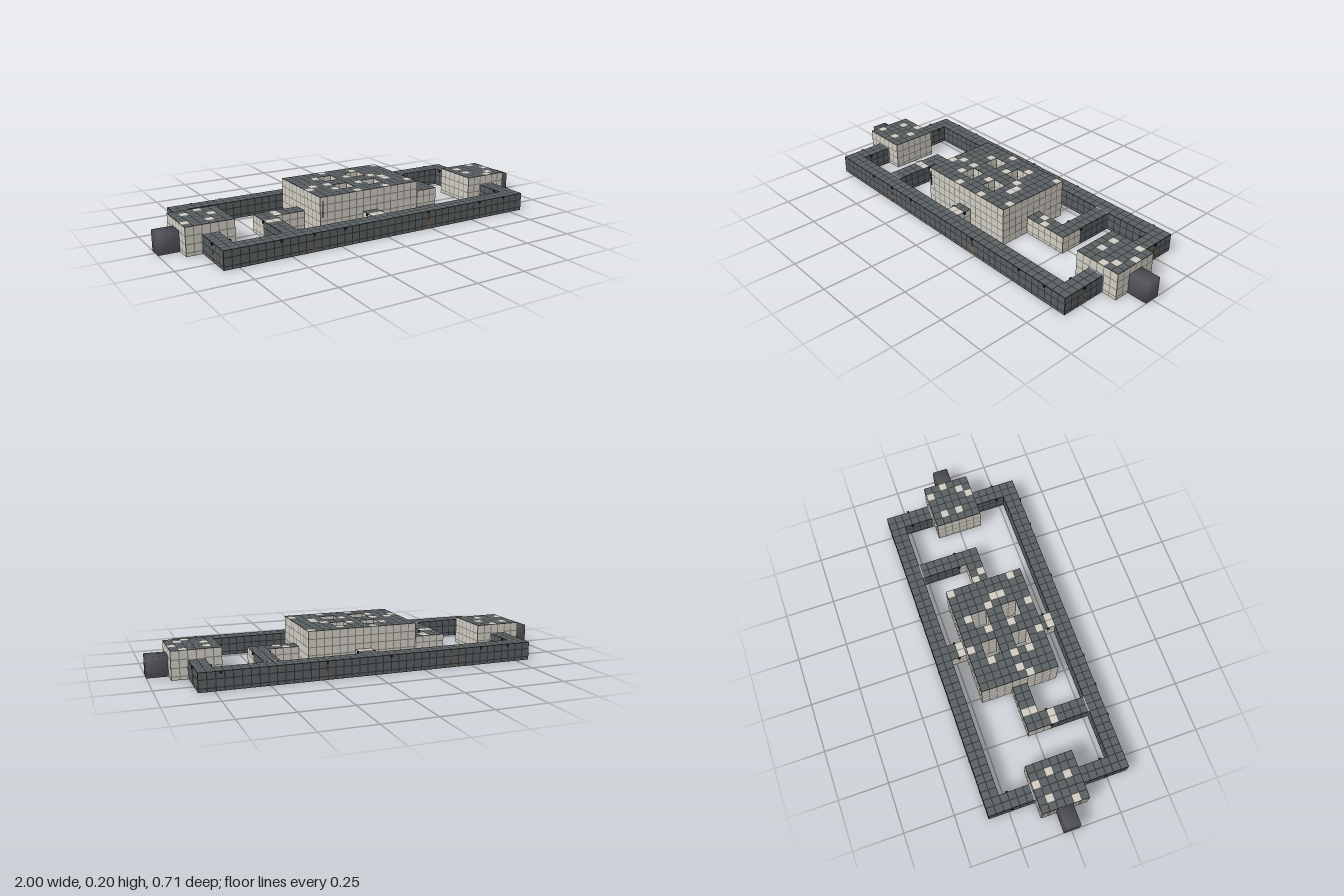
import * as THREE from 'three';
import { mergeGeometries, mergeVertices } from 'three/addons/utils/BufferGeometryUtils.js';

const U = 0.0391;      // side of one tile
const BASE = 0.008;    // underside height
const GAP = 0.0025;    // half of a groove
const LIFT = 0.0008;   // tile face above its groove

const material = (name, color) => {
  const m = new THREE.MeshStandardMaterial({ color });
  m.name = name;
  return m;
};

export function createModel() {
  const group = new THREE.Group();
  const mats = {
    slate: material('slate tile', 0x5a5f61),
    slateGroove: material('slate groove', 0x303436),
    cream: material('cream tile', 0xcfcbc2),
    creamGroove: material('cream groove', 0x85857c),
    floor: material('underside', 0x46494b),
    engine: material('engine grey', 0x55565c),
    frame: material('pale frame', 0xb2bac2),
    clip: material('black clip', 0x1c1e20),
    orange: material('orange stripe', 0x9a6a2c),
  };

  // Footprints in tile units: [name, x0, x1, z0, z1, height, wall colour, row offset]
  const LOW = 0.097, MID = 0.145, HIGH = 0.203;
  const rects = [
    ['outerRing', -21, 21, -9, -7, LOW, 'slate', 0.025],
    ['outerRing', -21, 21, 7, 9, LOW, 'slate', 0.025],
    ['sideCorridor', -13, -7, -1, 1, LOW, 'cream', 0.025],
    ['sideCorridor', -13, -11, 1, 2, LOW, 'cream', 0.025],
    ['sideCorridor', -13, -11, 2, 7, LOW, 'slate', 0.025],
    ['sideCorridor', 7, 13, -1, 1, LOW, 'cream', 0.025],
    ['sideCorridor', 11, 13, -2, -1, LOW, 'cream', 0.025],
    ['sideCorridor', 11, 13, -7, -2, LOW, 'slate', 0.025],
    ['middleConnector', -1, 1, -7, -5, LOW, 'cream', 0.025],
    ['middleConnector', -1, 1, 5, 7, LOW, 'cream', 0.025],
    ['centralBlock', -7, 7, -5, 5, HIGH, 'cream', BASE],
  ];
  for (const x of [-21, 19]) {
    rects.push(['outerRing', x, x + 2, -7, -3, LOW, 'slate', 0.025]);
    rects.push(['outerRing', x, x + 2, 3, 7, LOW, 'slate', 0.025]);
  }
  for (const x of [-23, 17]) rects.push(['endBlock', x, x + 6, -3, 3, MID, 'cream', 0.025]);

  // Cell map, with four shafts cut through the central block
  const cells = new Map();
  for (const [name, x0, x1, z0, z1, h, wall, row] of rects) {
    for (let i = x0; i < x1; i++) for (let j = z0; j < z1; j++) {
      const shaft = name === 'centralBlock' &&
        [1, 2].includes(Math.floor(Math.abs(i + 0.5))) && [1, 2].includes(Math.floor(Math.abs(j + 0.5)));
      if (!shaft) cells.set(`${i},${j}`, { name, i, j, h, wall, row });
    }
  }

  // Roof tiles that are cream instead of slate
  const paleRoof = new Set([
    '-2,-5', '6,-5', '2,-4', '-4,-3', '0,-2', '3,-1', '4,0', '-6,0', '-4,0', '-7,1', '-4,2',
    '-2,4', '6,3', '4,1', '2,4', '0,1', '9,0', '8,-1', '-11,-1', '-11,0', '-13,2', '-12,2',
    '-1,6', '0,6', '-1,-6', '0,-6', '-20,-3', '-22,-2', '-19,-1', '-23,1', '-20,1',
    '21,-3', '22,-1', '18,-2', '18,0', '21,1', '20,2',
  ]);

  // Collect quads for each part and colour
  const bins = {};
  const put = (part, mat, geo) => ((bins[part] ??= {})[mat] ??= []).push(geo);
  const tile = (part, colour, w, h, place) => {
    put(part, colour + 'Groove', place(new THREE.PlaneGeometry(w, h)));
    const face = new THREE.PlaneGeometry(Math.max(w - 2 * GAP, 0.002), Math.max(h - 2 * GAP, 0.002));
    put(part, colour, place(face.translate(0, 0, LIFT)));
  };

  for (const { name, i, j, h, wall, row } of cells.values()) {
    const x = (i + 0.5) * U, z = (j + 0.5) * U;
    tile(name, paleRoof.has(`${i},${j}`) ? 'cream' : 'slate', U, U,
      g => g.rotateX(-Math.PI / 2).translate(x, h, z));
    put(name, 'floor', new THREE.PlaneGeometry(U, U).rotateX(Math.PI / 2).translate(x, BASE, z));
    // Walls wherever the neighbouring cell is lower
    for (const [dx, dz] of [[1, 0], [-1, 0], [0, 1], [0, -1]]) {
      const low = cells.get(`${i + dx},${j + dz}`)?.h ?? BASE;
      if (low >= h) continue;
      const cuts = [low];
      for (let k = 0; k < 7; k++) {
        const y = row + k * 0.039;
        if (y > low + 0.006 && y < h - 0.006) cuts.push(y);
      }
      cuts.push(h);
      for (let k = 1; k < cuts.length; k++) {
        tile(name, wall, U, cuts[k] - cuts[k - 1], g => g.rotateY(Math.atan2(dx, dz))
          .translate(x + dx * U / 2, (cuts[k] + cuts[k - 1]) / 2, z + dz * U / 2));
      }
    }
  }
  for (const [part, byColour] of Object.entries(bins)) {
    const holder = new THREE.Group();
    holder.name = part;
    for (const [key, list] of Object.entries(byColour)) {
      const mesh = new THREE.Mesh(mergeGeometries(list), mats[key]);
      mesh.name = `${part} ${mats[key].name}`;
      holder.add(mesh);
    }
    group.add(holder);
  }

  const box = (name, mat, w, h, d, x, y, z) => {
    const mesh = new THREE.Mesh(new THREE.BoxGeometry(w, h, d), mats[mat]);
    mesh.position.set(x, y, z);
    mesh.name = name;
    group.add(mesh);
  };

  // Softly shaded engine at each end
  for (const s of [-1, 1]) {
    const g = new THREE.BoxGeometry(0.102, 0.1, 0.079);
    g.deleteAttribute('normal');
    g.deleteAttribute('uv');
    const smooth = mergeVertices(g);
    smooth.computeVertexNormals();
    const engine = new THREE.Mesh(smooth, mats.engine);
    engine.position.set(s * 0.949, 0.058, 0);
    engine.name = 'engine';
    group.add(engine);
  }

  // Pale frames where corridors meet the blocks and the ring
  for (const sx of [-1, 1]) {
    for (const sz of [-1, 1]) box('doorFrame', 'frame', 0.084, 0.088, 0.006, sx * 20 * U, 0.054, sz * 3.1 * U);
    box('doorFrame', 'frame', 0.08, 0.088, 0.005, sx * 12 * U, 0.0545, -sx * 6.95 * U);
  }

  // Clips at the joints of the connectors
  const clipPair = (x, z) => {
    for (const s of [-1, 1]) box('clip', 'clip', 0.008, 0.012, 0.012, x + s * 0.041, 0.092, z);
  };
  for (const sz of [-1, 1]) {
    for (const x of [-20 * U, 0, 20 * U]) clipPair(x, sz * 0.235);
    clipPair(sz * 12 * U, -sz * 0.08);
  }

  // Clips and orange stripes along the ring
  for (const x of [-0.7, -0.55, -0.08, 0.235, 0.72]) box('clip', 'clip', 0.012, 0.012, 0.006, x, 0.092, -0.353);
  for (const x of [-0.55, -0.39, -0.23, 0.23, 0.545, 0.7]) box('clip', 'clip', 0.012, 0.012, 0.006, x, 0.092, 0.353);
  for (const s of [-1, 1]) {
    for (const x of [-0.39, 0.235]) box('stripe', 'orange', 0.004, 0.07, 0.004, x, 0.045, s * 0.352);
    for (const z of [-0.235, 0.235]) box('stripe', 'orange', 0.004, 0.07, 0.004, s * 0.821, 0.045, z);
  }

  // Ladder rail on the front of the central block
  box('ladderRail', 'clip', 0.005, 0.08, 0.005, -0.26, 0.145, 0.197);
  return group;
}
